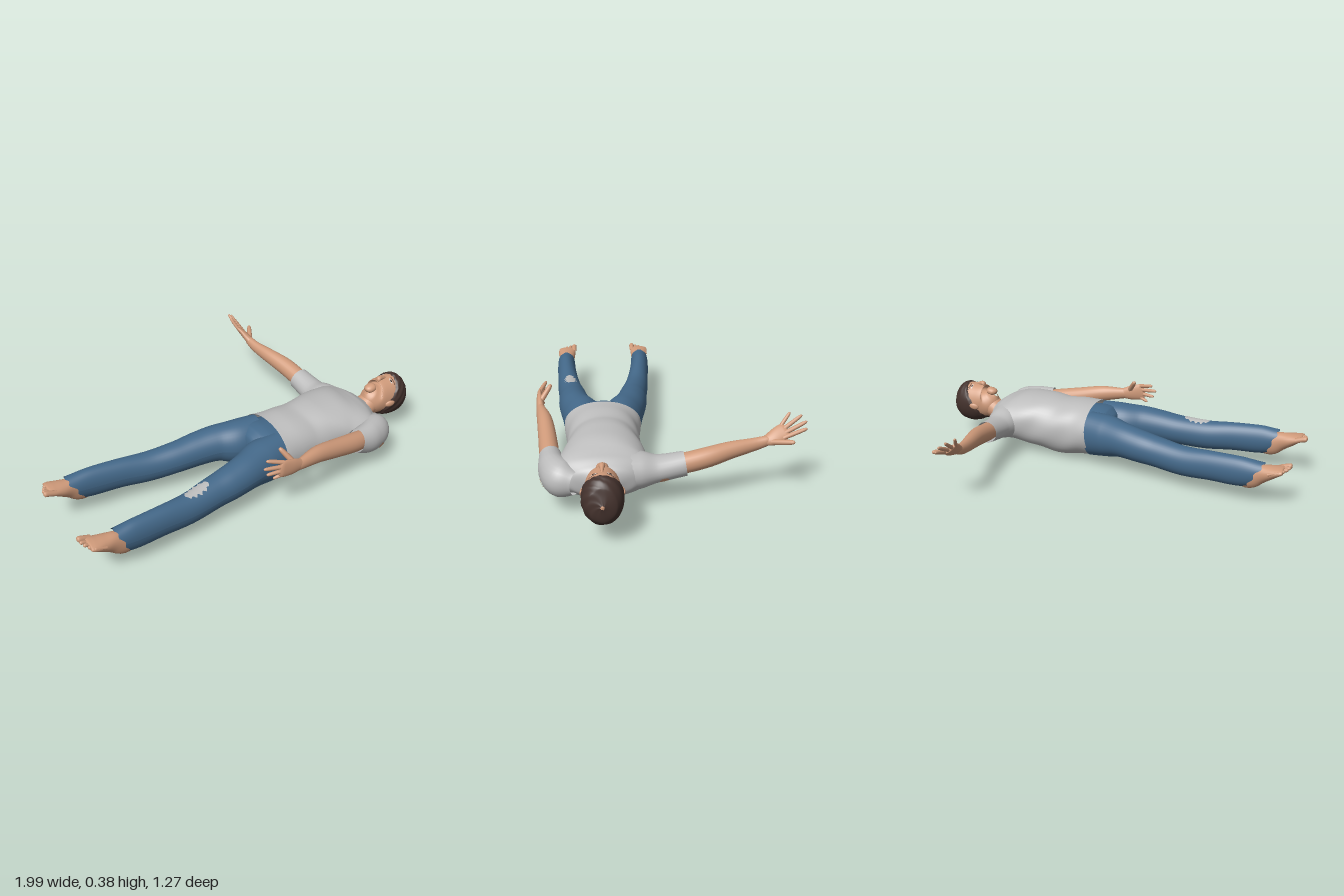
import * as THREE from 'three';
import { mergeVertices } from 'three/addons/utils/BufferGeometryUtils.js';

const flat = (name, color, side = THREE.FrontSide) => {
  const m = new THREE.MeshStandardMaterial({ color, side });
  m.name = name;
  return m;
};
const UP = new THREE.Vector3(0, 1, 0);

// Tube-like surface through sections [x, y, z, half width, half height]
function surface(sections, roll = 0, power = 1) {
  const path = new THREE.CatmullRomCurve3(sections.map(s => new THREE.Vector3(s[0], s[1], s[2])));
  const size = new THREE.CatmullRomCurve3(sections.map(s => new THREE.Vector3(s[3], s[4], 0)), false, 'catmullrom', 0.4);
  const bend = x => Math.sign(x) * Math.abs(x) ** power;
  return (u, v, grow = 0) => {
    const k = Math.min(1, Math.max(0, u));
    const T = path.getTangent(k);
    const side = new THREE.Vector3().crossVectors(UP, T).normalize().applyAxisAngle(T, roll);
    const up = new THREE.Vector3().crossVectors(T, side);
    const r = size.getPoint(k), a = v * Math.PI * 2;
    return path.getPoint(k)
      .addScaledVector(side, (Math.max(r.x, 0.0005) + grow) * bend(Math.cos(a)))
      .addScaledVector(up, (Math.max(r.y, 0.0005) + grow) * bend(Math.sin(a)));
  };
}

// Mesh over a surface; map turns grid (s, t) into (u, v, grow)
function skin(name, surf, material, nu = 24, nv = 24, map = (s, t) => [s, t, 0]) {
  const pos = [], idx = [];
  for (let i = 0; i <= nu; i++) {
    for (let j = 0; j <= nv; j++) pos.push(...surf(...map(i / nu, j / nv)).toArray());
  }
  for (let i = 0; i < nu; i++) {
    for (let j = 0; j < nv; j++) {
      const a = i * (nv + 1) + j, b = a + nv + 1;
      idx.push(a, a + 1, b, a + 1, b + 1, b);
    }
  }
  let g = new THREE.BufferGeometry();
  g.setAttribute('position', new THREE.Float32BufferAttribute(pos, 3));
  g.setIndex(idx);
  g = mergeVertices(g, 1e-5);
  g.computeVertexNormals();
  const mesh = new THREE.Mesh(g, material);
  mesh.name = name;
  return mesh;
}

// Oval region of a surface, lifted a little
const oval = (u, v, du, dv, lift, ragged = 0) => (s, t) => {
  const p = 2 * s - 1, w = Math.sqrt(Math.max(0, 1 - p * p)) * (1 + ragged * Math.sin(s * 31));
  return [u + du * p, v + dv * (2 * t - 1) * w, lift];
};

export function createModel() {
  const model = new THREE.Group();
  model.name = 'lyingMan';
  const skinMat = flat('skin', 0xcf9a7a);
  const shirt = flat('shirt grey', 0xbdbdbd, THREE.DoubleSide);
  const jeans = flat('denim blue', 0x44698a, THREE.DoubleSide);
  const hair = flat('hair brown', 0x44322d, THREE.DoubleSide);
  const lips = flat('lip', 0xa9705c);
  const white = flat('eye white', 0xd8d2cc);
  const dark = flat('eye dark', 0x2a1f1c);
  const add = (...args) => model.add(skin(...args));

  // Shirt body with faint folds
  add('shirtBody', surface([
    [0.10, 0.17, 0.30, 0.19, 0.14], [0.20, 0.16, 0.30, 0.178, 0.148], [0.30, 0.154, 0.295, 0.174, 0.152],
    [0.40, 0.165, 0.295, 0.177, 0.148], [0.50, 0.175, 0.295, 0.195, 0.138], [0.58, 0.17, 0.30, 0.222, 0.118],
    [0.64, 0.165, 0.30, 0.215, 0.105], [0.69, 0.162, 0.30, 0.145, 0.076], [0.715, 0.16, 0.30, 0.072, 0.06],
  ], 0, 0.92), shirt, 48, 48, (s, t) => [s, t, 0.002 * Math.sin(s * 26 + 5 * Math.sin(t * Math.PI * 2))]);

  // Sleeves, each with a small worn hole
  const sleeves = {
    right: surface([[0.60, 0.17, 0.22, 0.10, 0.10], [0.595, 0.172, 0.13, 0.09, 0.085],
      [0.593, 0.175, 0.05, 0.07, 0.062], [0.588, 0.193, -0.072, 0.058, 0.057]]),
    left: surface([[0.69, 0.16, 0.42, 0.045, 0.055], [0.65, 0.163, 0.48, 0.078, 0.085],
      [0.58, 0.17, 0.52, 0.07, 0.085], [0.48, 0.192, 0.541, 0.052, 0.062]]),
  };
  for (const [name, s] of Object.entries(sleeves)) {
    add(name + 'Sleeve', s, shirt);
    const [u, v] = name === 'right' ? [0.72, 0.6] : [0.58, 0.93];
    add(name + 'SleeveHole', s, skinMat, 12, 4, oval(u, v, 0.06, 0.035, 0.002, 0.4));
  }

  // Hips and legs, then feet with toes
  add('hips', surface([[0.16, 0.165, 0.30, 0.165, 0.12], [0.08, 0.168, 0.30, 0.184, 0.122],
    [0.03, 0.172, 0.30, 0.18, 0.11], [0.0, 0.175, 0.30, 0.10, 0.08], [-0.012, 0.175, 0.30, 0.001, 0.001]]), jeans);
  for (const side of [-1, 1]) {
    const word = side < 0 ? 'right' : 'left';
    const z = d => 0.3 + side * d;
    const end = side < 0 ? -0.88 : -0.85;
    const leg = surface([
      [0.10, 0.165, z(0.09), 0.093, 0.12], [0, 0.172, z(0.102), 0.1, 0.112], [-0.1, 0.178, z(0.134), 0.086, 0.093],
      [-0.2, 0.17, z(0.152), 0.08, 0.086], [-0.3, 0.16, z(0.162), 0.073, 0.08], [-0.45, 0.148, z(0.184), 0.064, 0.078],
      [-0.6, 0.157, z(0.201), 0.055, 0.077], [-0.75, 0.162, z(0.213), 0.051, 0.077], [end, 0.172, z(0.217), 0.049, 0.058],
    ]);
    add(word + 'TrouserLeg', leg, jeans, 48, 40, (s, t) => {
      const slope = 1 - Math.sin(t * Math.PI * 2);
      return [s * (1 - 0.045 * slope - 0.008 * Math.sin(t * 44)), t, 0];
    });
    if (side > 0) add('kneePatch', leg, shirt, 30, 8, oval(0.585, 0.25, 0.06, 0.07, 0.002, 0.25));

    add(word + 'Foot', surface([
      [-0.70, 0.165, z(0.212), 0.034, 0.045], [-0.755, 0.148, z(0.214), 0.036, 0.055], [-0.80, 0.143, z(0.215), 0.037, 0.06],
      [-0.85, 0.167, z(0.215), 0.039, 0.05], [-0.90, 0.185, z(0.215), 0.046, 0.036],
      [-0.945, 0.202, z(0.216), 0.05, 0.022], [-0.965, 0.21, z(0.214), 0.044, 0.012], [-0.97, 0.211, z(0.214), 0.001, 0.001],
    ]), skinMat, 32, 24);
    for (let i = 0; i < 5; i++) {
      const d = 0.178 + i * 0.0195 - (i ? 0 : 0.003), r = i ? 0.0088 : 0.014;
      const tip = -0.999 + 0.0025 * i * i, y = 0.218 - i * 0.003;
      add(word + 'Toe', surface([[tip + 0.06, y - 0.016, z(d), r, r], [tip + 0.025, y - 0.004, z(d), r, r],
        [tip + 0.008, y, z(d), r, r], [tip + 0.002, y, z(d), r * 0.6, r * 0.6], [tip, y, z(d), 0, 0]]), skinMat, 12, 12);
    }
  }

  // Arms and palms
  add('rightArm', surface([[0.59, 0.185, 0.02, 0.045, 0.045], [0.588, 0.195, -0.07, 0.046, 0.048],
    [0.575, 0.216, -0.18, 0.045, 0.047], [0.55, 0.234, -0.28, 0.037, 0.041],
    [0.525, 0.25, -0.40, 0.025, 0.031], [0.52, 0.264, -0.455, 0.022, 0.024], [0.519, 0.27, -0.475, 0.015, 0.015]]), skinMat);
  add('rightPalm', surface([[0.521, 0.26, -0.44, 0.022, 0.02], [0.518, 0.277, -0.485, 0.038, 0.019],
    [0.506, 0.30, -0.53, 0.04, 0.014], [0.503, 0.306, -0.545, 0.03, 0.009], [0.502, 0.308, -0.55, 0, 0]], 0.75), skinMat);
  add('leftArm', surface([[0.55, 0.18, 0.53, 0.042, 0.048], [0.46, 0.195, 0.545, 0.046, 0.051],
    [0.32, 0.224, 0.562, 0.043, 0.048], [0.2, 0.25, 0.58, 0.037, 0.043],
    [0.08, 0.26, 0.606, 0.022, 0.03], [0.05, 0.264, 0.61, 0.016, 0.025]]), skinMat);
  add('leftPalm', surface([[0.09, 0.259, 0.605, 0.02, 0.027], [0.03, 0.27, 0.612, 0.019, 0.042],
    [-0.025, 0.282, 0.615, 0.014, 0.045], [-0.04, 0.284, 0.613, 0.009, 0.034], [-0.046, 0.285, 0.612, 0, 0]]), skinMat);

  // Fingers: thumb, index, middle, ring, little as [base, tip]
  const hands = {
    right: [[[0.532, 0.262, -0.47], [0.592, 0.284, -0.568]], [[0.53, 0.279, -0.525], [0.527, 0.322, -0.635]],
      [[0.514, 0.294, -0.53], [0.508, 0.35, -0.636]], [[0.498, 0.309, -0.53], [0.48, 0.37, -0.617]],
      [[0.483, 0.322, -0.522], [0.459, 0.376, -0.565]]],
    left: [[[0.04, 0.29, 0.605], [-0.006, 0.357, 0.555]], [[-0.02, 0.317, 0.613], [-0.1, 0.337, 0.585]],
      [[-0.025, 0.294, 0.614], [-0.12, 0.305, 0.597]], [[-0.025, 0.272, 0.615], [-0.105, 0.269, 0.6]],
      [[-0.015, 0.25, 0.615], [-0.068, 0.234, 0.6]]],
  };
  for (const [word, fingers] of Object.entries(hands)) {
    fingers.forEach(([base, tip], i) => {
      const r = [0.014, 0.0105, 0.0105, 0.01, 0.009][i];
      const rows = [[0, 1], [0.5, 0.95], [0.85, 0.8], [0.97, 0.5], [1, 0]].map(([k, w]) =>
        [...base.map((b, n) => b + (tip[n] - b) * k), r * w, r * w]);
      add(word + (i ? 'Finger' : 'Thumb'), surface(rows), skinMat, 14, 12);
    });
  }

  // Neck and head
  add('neck', surface([[0.66, 0.155, 0.3, 0.062, 0.05], [0.72, 0.165, 0.3, 0.06, 0.052],
    [0.78, 0.187, 0.3, 0.058, 0.06], [0.84, 0.19, 0.3, 0.055, 0.06]]), skinMat);
  const head = surface([[0.745, 0.255, 0.3, 0.012, 0.015], [0.76, 0.238, 0.3, 0.045, 0.052], [0.79, 0.21, 0.3, 0.068, 0.088],
    [0.83, 0.207, 0.3, 0.078, 0.099], [0.88, 0.2, 0.3, 0.083, 0.108], [0.93, 0.199, 0.3, 0.08, 0.102],
    [0.972, 0.2, 0.3, 0.055, 0.07], [0.992, 0.202, 0.3, 0, 0]]);
  add('head', head, skinMat, 40, 40);
  add('chin', surface([[0.742, 0.258, 0.3, 0, 0], [0.746, 0.262, 0.3, 0.018, 0.018], [0.758, 0.27, 0.3, 0.027, 0.022],
    [0.785, 0.275, 0.3, 0.025, 0.02], [0.8, 0.275, 0.3, 0, 0]]), skinMat);

  // Cropped hair over crown and nape
  add('hair', head, hair, 40, 64, (s, t) => {
    const c = Math.sin(t * Math.PI * 2);
    const start = 0.455 + 0.175 * c + 0.008 * Math.sin(t * Math.PI * 36);
    const bump = 0.0015 * Math.sin(s * 23 + t * 44) * Math.sin(t * Math.PI);
    return [start + (1 - start) * s, t, -0.002 + Math.min(1, s * 9) * (0.01 + bump)];
  });

  // Face
  add('nose', surface([[0.872, 0.301, 0.3, 0.005, 0.006], [0.845, 0.308, 0.3, 0.009, 0.01], [0.822, 0.312, 0.3, 0.014, 0.013],
    [0.812, 0.305, 0.3, 0.013, 0.007], [0.808, 0.301, 0.3, 0, 0]]), skinMat, 20, 16);
  add('mouth', head, lips, 8, 12, oval(0.305, 0.25, 0.017, 0.06, 0.0015));
  for (const side of [-1, 1]) {
    const v = 0.25 + side * 0.07;
    add('eye', head, white, 10, 8, oval(0.515, v, 0.016, 0.03, 0.001));
    add('iris', head, dark, 8, 6, oval(0.517, v, 0.014, 0.012, 0.002));
    add('eyebrow', head, hair, 8, 10, oval(0.565, v + side * 0.004, 0.012, 0.044, 0.002));
    const ear = new THREE.Mesh(new THREE.SphereGeometry(1, 16, 12), skinMat);
    ear.name = 'ear';
    ear.scale.set(0.027, 0.017, 0.009);
    ear.position.set(0.838, 0.197, 0.3 + side * 0.086);
    ear.rotation.set(0, side * -0.25, 0.2);
    model.add(ear);
  }
  return model;
}
